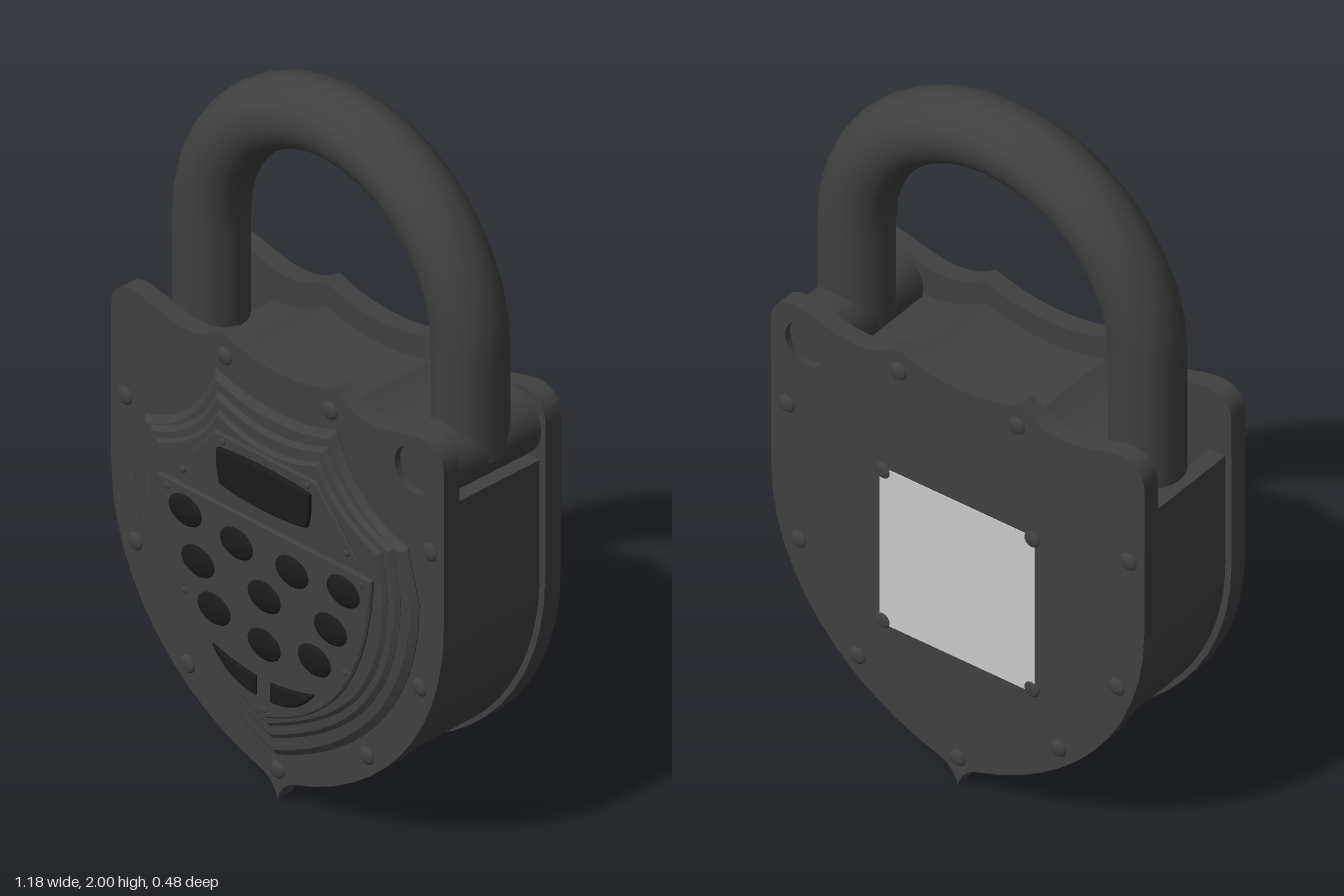
import * as THREE from 'three';
import { toCreasedNormals } from 'three/addons/utils/BufferGeometryUtils.js';

const dark = new THREE.MeshStandardMaterial({ color: 0x404040 });
const black = new THREE.MeshStandardMaterial({ color: 0x1a1a1a });
const grey = new THREE.MeshStandardMaterial({ color: 0xcccccc });

// Mirrors a path drawn on the +x side (bottom to top) into a closed shape
function mirrored(path) {
  const half = path.getPoints(12);
  const other = half.filter(p => p.x > 1e-4).reverse().map(p => new THREE.Vector2(-p.x, p.y));
  return new THREE.Shape([...half, ...other]);
}

// Outline of the front and back plates, with the pivot hole
function plateShape() {
  const p = new THREE.Path();
  p.moveTo(0, 0);
  p.quadraticCurveTo(0.015, 0.05, 0.06, 0.065);
  p.bezierCurveTo(0.35, 0.15, 0.59, 0.4, 0.59, 0.75);
  p.lineTo(0.59, 1.19);
  p.quadraticCurveTo(0.59, 1.265, 0.52, 1.27);
  p.bezierCurveTo(0.44, 1.27, 0.32, 1.185, 0.195, 1.28);
  p.quadraticCurveTo(0.1, 1.245, 0, 1.245);
  const shape = mirrored(p);
  const hole = new THREE.Path();
  hole.absarc(0.48, 1.165, 0.065, 0, Math.PI * 2, true);
  shape.holes.push(hole);
  return shape;
}

// Shield with concave top edges, used for the raised front tiers
function shieldShape(bottom, side, shoulderX, shoulderY, peakX, peakY) {
  const p = new THREE.Path();
  p.moveTo(0, bottom);
  p.bezierCurveTo(side * 0.55, bottom + 0.1, side, 0.45, side, 0.78);
  p.lineTo(shoulderX, shoulderY);
  p.quadraticCurveTo(peakX + 0.06, shoulderY + 0.05, peakX, peakY);
  p.quadraticCurveTo(peakX * 0.5, peakY - 0.04, 0, peakY - 0.04);
  return mirrored(p);
}

function polygon(points) {
  return new THREE.Shape(points.map(([x, y]) => new THREE.Vector2(x, y)));
}

export function createModel() {
  const model = new THREE.Group();

  const add = (name, geometry, material = dark, x = 0, y = 0, z = 0) => {
    const mesh = new THREE.Mesh(geometry, material);
    mesh.name = name;
    mesh.position.set(x, y, z);
    model.add(mesh);
    return mesh;
  };

  // Extrudes a shape between z0 and z1, with an optional chamfer on its front
  const slab = (name, shape, z0, z1, bevel = 0, material = dark) => {
    const geo = new THREE.ExtrudeGeometry(shape, {
      depth: z1 - z0 - bevel, curveSegments: 20, bevelEnabled: bevel > 0,
      bevelThickness: bevel, bevelSize: bevel * 1.3, bevelOffset: -bevel * 1.3, bevelSegments: 1,
    });
    return add(name, toCreasedNormals(geo, 0.5), material, 0, 0, z0);
  };

  // Dome flattened along z, for rivets, screws and buttons
  const dome = (name, x, y, z, rx, ry, rz, material = dark) => {
    const mesh = add(name, new THREE.SphereGeometry(1, 20, 10), material, x, y, z);
    mesh.scale.set(rx, ry, rz);
  };

  // Front and back plates
  slab('frontPlate', plateShape(), 0.125, 0.18);
  slab('backPlate', plateShape(), -0.235, -0.18);

  // Inner body with a pocket for the free end of the shackle
  const body = new THREE.Shape();
  body.moveTo(0, 0.045);
  body.bezierCurveTo(0.33, 0.14, 0.57, 0.4, 0.57, 0.75);
  body.lineTo(0.57, 1.08);
  body.lineTo(0.38, 1.08);
  body.lineTo(0.38, 1.15);
  body.quadraticCurveTo(0.28, 1.15, 0.19, 1.21);
  body.quadraticCurveTo(0, 1.15, -0.19, 1.21);
  body.quadraticCurveTo(-0.28, 1.15, -0.37, 1.15);
  body.lineTo(-0.37, 0.9);
  body.lineTo(-0.52, 0.9);
  body.lineTo(-0.52, 1.08);
  body.lineTo(-0.57, 1.08);
  body.lineTo(-0.57, 0.75);
  body.bezierCurveTo(-0.57, 0.4, -0.33, 0.14, 0, 0.045);
  slab('body', body, -0.18, 0.125);

  // Shackle: arch, two legs and the pivot barrel
  add('shackleArch', new THREE.TorusGeometry(0.46, 0.1, 24, 18, Math.PI), dark, 0.02, 1.44, -0.025);
  for (const [name, x, y0] of [['shackleFreeLeg', -0.44, 0.9], ['shacklePivotLeg', 0.48, 1.15]]) {
    add(name, new THREE.CylinderGeometry(0.1, 0.1, 1.44 - y0, 24), dark, x, (1.44 + y0) / 2, -0.025);
  }
  const pivot = add('pivotBarrel', new THREE.CylinderGeometry(0.095, 0.095, 0.305, 28), dark, 0.48, 1.165, -0.0275);
  pivot.rotation.x = Math.PI / 2;
  const pin = add('pivotPin', new THREE.CylinderGeometry(0.065, 0.065, 0.375, 28), dark, 0.48, 1.165, -0.0275);
  pin.rotation.x = Math.PI / 2;

  // Stepped shield on the front
  slab('outerShield', shieldShape(0.13, 0.505, 0.465, 0.93, 0.215, 1.17), 0.175, 0.197, 0.014);
  slab('middleShield', shieldShape(0.185, 0.455, 0.43, 0.92, 0.195, 1.12), 0.19, 0.208, 0.01);
  slab('innerShield', shieldShape(0.225, 0.42, 0.4, 0.9, 0.18, 1.075), 0.2, 0.217, 0.008);

  // Keypad panel and display panel
  const pad = new THREE.Path();
  pad.moveTo(0, 0.255);
  pad.bezierCurveTo(0.17, 0.31, 0.36, 0.43, 0.38, 0.815);
  pad.lineTo(0, 0.815);
  slab('keypadPanel', mirrored(pad), 0.21, 0.227, 0.004);
  slab('displayPanel', polygon([[-0.33, 0.845], [0.33, 0.845], [0.18, 1.02], [-0.18, 1.02]]), 0.21, 0.225, 0.004);

  // Display window with bowed edges
  const display = new THREE.Path();
  display.moveTo(0, 0.865);
  display.quadraticCurveTo(0.1, 0.865, 0.155, 0.88);
  display.quadraticCurveTo(0.17, 0.93, 0.165, 0.98);
  display.quadraticCurveTo(0.1, 0.99, 0, 0.99);
  slab('display', mirrored(display), 0.215, 0.236, 0.004, black);

  // Oval keys
  const keys = [[0.28, 0.745], [0.098, 0.725], [0.235, 0.615], [0.178, 0.5]];
  for (const [x, y] of keys) {
    for (const s of [-1, 1]) dome('key', s * x, y, 0.224, 0.061, 0.045, 0.014, black);
  }
  for (const y of [0.61, 0.47]) dome('key', 0, y, 0.224, 0.061, 0.045, 0.014, black);

  // Pair of wing-shaped keys at the bottom
  for (const s of [-1, 1]) {
    const wing = new THREE.Shape();
    wing.moveTo(s * 0.025, 0.315);
    wing.quadraticCurveTo(s * 0.13, 0.32, s * 0.18, 0.4);
    wing.quadraticCurveTo(s * 0.1, 0.375, s * 0.025, 0.37);
    wing.closePath();
    slab('wingKey', wing, 0.22, 0.236, 0.004, black);
  }

  // Rivets round both plates
  const rivets = [[0.187, 1.215], [0.54, 0.95], [0.503, 0.54], [0.317, 0.26], [0, 0.085]];
  for (const [x, y] of rivets) {
    for (const s of x ? [-1, 1] : [1]) {
      dome('frontRivet', s * x, y, 0.178, 0.026, 0.026, 0.012);
      dome('backRivet', s * x, y, -0.233, 0.026, 0.026, 0.012);
    }
  }

  // Small screws on the front panels
  const screws = [[0.345, 0.79], [0.285, 0.51], [0.15, 1.0], [0.29, 0.86], [0, 0.28]];
  for (const [x, y] of screws) {
    for (const s of x ? [-1, 1] : [1]) dome('panelScrew', s * x, y, 0.225, 0.01, 0.01, 0.006);
  }

  // Square cover on the back with a screw at each corner
  add('backCover', new THREE.BoxGeometry(0.49, 0.49, 0.01), grey, 0, 0.645, -0.233);
  for (const x of [-0.235, 0.235]) {
    for (const y of [0.41, 0.88]) dome('coverScrew', x, y, -0.235, 0.024, 0.024, 0.008);
  }

  return model;
}
